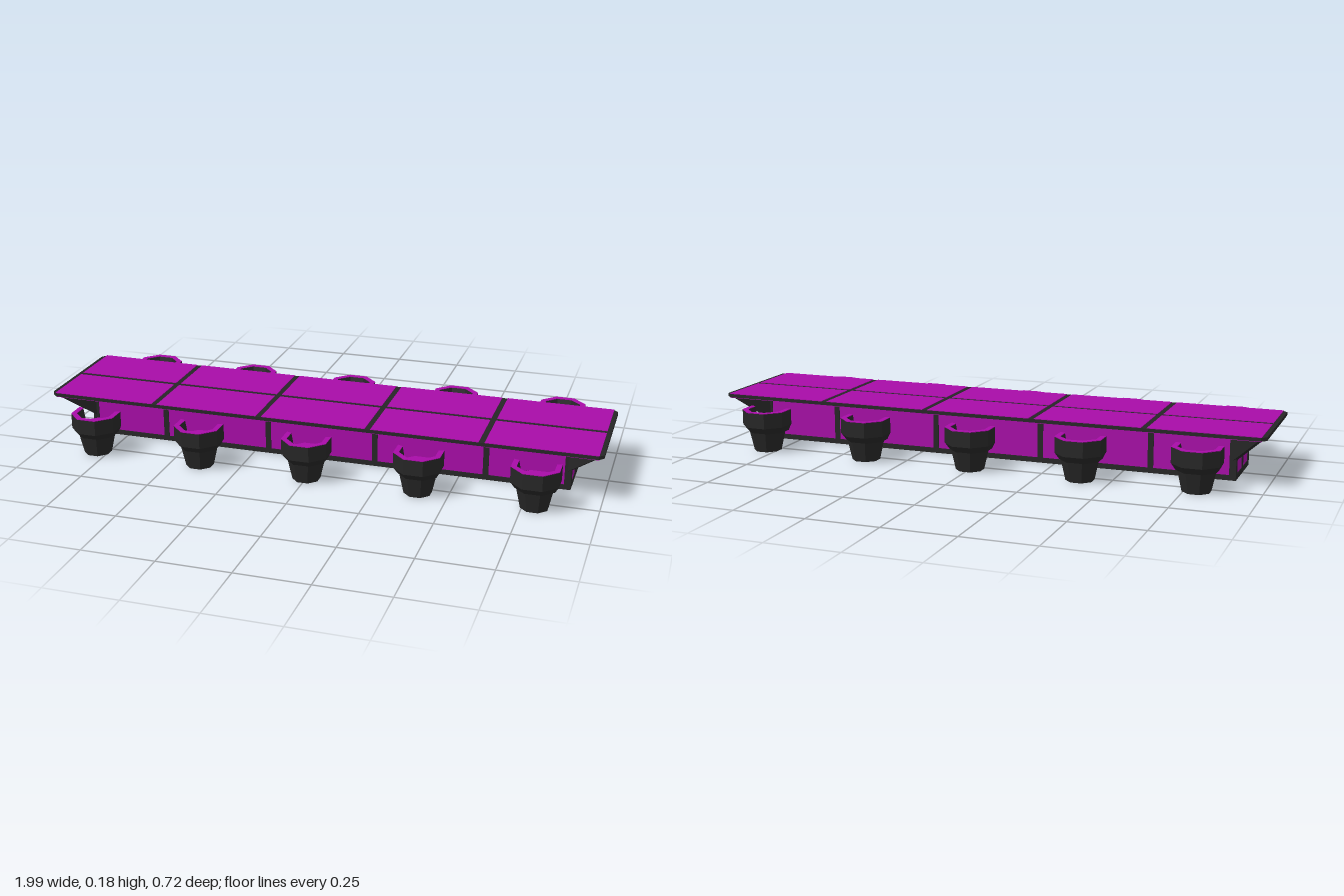
import * as THREE from 'three';

const dark = new THREE.MeshStandardMaterial({ color: 0x262626, flatShading: true });
const purple = new THREE.MeshStandardMaterial({ color: 0xa80ca8, flatShading: true });

function add(parent, name, geometry, material, x = 0, y = 0, z = 0) {
  const mesh = new THREE.Mesh(geometry, material);
  mesh.name = name;
  mesh.position.set(x, y, z);
  parent.add(mesh);
  return mesh;
}

// Box given by its lower and upper limits on each axis
function block(parent, name, material, x0, x1, y0, y1, z0, z1) {
  return add(parent, name, new THREE.BoxGeometry(x1 - x0, y1 - y0, z1 - z0), material,
    (x0 + x1) / 2, (y0 + y1) / 2, (z0 + z1) / 2);
}

// Octagonal tapered drum with flat sides on the axes; radii are centre-to-side
function octagon(bottom, top, height) {
  const k = 1 / Math.cos(Math.PI / 8);
  return new THREE.CylinderGeometry(top * k, bottom * k, height, 8).rotateY(Math.PI / 8)
    .translate(0, height / 2, 0);
}

// Band around five sides of an octagon, swept from a closed [radius, y] profile
function backBand(profile) {
  const n = profile.length, pos = [], idx = [];
  for (let i = 0; i < 6; i++) {
    const a = -Math.PI * 5 / 8 + i * Math.PI / 4;
    for (const [r, y] of profile) {
      const R = r / Math.cos(Math.PI / 8);
      pos.push(R * Math.sin(a), y, R * Math.cos(a));
    }
  }
  for (let i = 0; i < 5; i++) {
    for (let j = 0; j < n; j++) {
      const a = i * n + j, b = i * n + (j + 1) % n;
      idx.push(a, a + n, b, b, a + n, b + n);
    }
  }
  const e = 5 * n;
  idx.push(0, 1, 2, 0, 2, 3, e, e + 2, e + 1, e, e + 3, e + 2);
  const g = new THREE.BufferGeometry();
  g.setAttribute('position', new THREE.Float32BufferAttribute(pos, 3));
  g.setIndex(idx);
  const flat = g.toNonIndexed();
  flat.computeVertexNormals();
  return flat;
}

function createChair() {
  const chair = new THREE.Group();
  add(chair, 'chairBase', octagon(0.045, 0.06, 0.072), dark);
  // The seat overhangs the base towards the table
  const seat = octagon(0.067, 0.08, 0.025);
  const p = seat.attributes.position;
  for (let i = 0; i < p.count; i++) if (p.getY(i) < 0.01) p.setZ(i, p.getZ(i) - 0.008);
  add(chair, 'seat', seat, dark, 0, 0.07, 0);
  add(chair, 'seatCushion', octagon(0.076, 0.076, 0.002), purple, 0, 0.095, 0);
  add(chair, 'backrest', backBand([[0.08, 0.094], [0.08, 0.148], [0.062, 0.148], [0.05, 0.094]]), dark);
  add(chair, 'backrestRim', backBand([[0.08, 0.148], [0.08, 0.15], [0.062, 0.15], [0.062, 0.148]]), purple);
  return chair;
}

export function createModel() {
  const model = new THREE.Group();
  model.name = 'conferenceTable';
  const table = new THREE.Group();
  table.name = 'table';
  model.add(table);

  const X = 0.885, Z = 0.115, T = 0.014; // body half length, half width, wall thickness
  const pitch = 0.395, gap = 0.01;
  const cuts = [-1.5, -0.5, 0.5, 1.5].map(v => v * pitch);

  // Tabletop slab with chamfered corners
  const outline = new THREE.Shape([
    [0.98, 0.216], [-0.98, 0.216], [-0.997, 0.2], [-0.997, -0.2],
    [-0.98, -0.216], [0.98, -0.216], [0.997, -0.2], [0.997, 0.2],
  ].map(([x, y]) => new THREE.Vector2(x, y)));
  add(table, 'tabletop',
    new THREE.ExtrudeGeometry(outline, { depth: 0.012, bevelEnabled: false }).rotateX(-Math.PI / 2),
    dark, 0, 0.166, 0);

  // Coloured plates above and below the slab
  const edges = [-0.982 - gap, ...cuts, 0.982 + gap];
  for (let i = 0; i < 5; i++) {
    for (const s of [-1, 1]) {
      for (const [name, y] of [['topPanel', 0.178], ['undersidePanel', 0.164]]) {
        block(table, name, purple, edges[i] + gap, edges[i + 1] - gap, y, y + 0.002,
          s > 0 ? gap : -0.215, s > 0 ? 0.215 : -gap);
      }
    }
  }

  // Open-bottomed body: rails, posts and inset panels
  for (const s of [-1, 1]) {
    const zc = s * (Z - T / 2), xc = s * (X - T / 2);
    block(table, 'sideRail', dark, -X, X, 0, 0.018, zc - T / 2, zc + T / 2);
    block(table, 'sidePanel', purple, -X + T, X - T, 0.018, 0.166, zc - T / 2 + 0.002, zc + T / 2 - 0.002);
    for (const x of cuts) {
      block(table, 'sidePost', dark, x - gap, x + gap, 0.018, 0.166, zc - T / 2, zc + T / 2);
    }
    block(table, 'endRail', dark, xc - T / 2, xc + T / 2, 0, 0.02, -Z + T, Z - T);
    block(table, 'endPanel', purple, xc - T / 2 + 0.002, xc + T / 2 - 0.002, 0.02, 0.166, -Z + T, Z - T);
    block(table, 'endPost', dark, xc - T / 2, xc + T / 2, 0.02, 0.166, -0.011, 0.011);
  }

  // Corner posts and triangular brackets running out to the tabletop corners
  const run = Math.hypot(0.1, 0.095);
  const finShape = new THREE.Shape([
    new THREE.Vector2(-0.015, 0.055), new THREE.Vector2(0, 0.07),
    new THREE.Vector2(run, 0.168), new THREE.Vector2(-0.015, 0.168),
  ]);
  for (const sx of [-1, 1]) {
    for (const sz of [-1, 1]) {
      const px = sx * (X - 0.0115), pz = sz * (Z - 0.0115);
      block(table, 'cornerPost', dark, px - 0.0115, px + 0.0115, 0, 0.166, pz - 0.0115, pz + 0.0115);
      const fin = add(table, 'cornerBracket',
        new THREE.ExtrudeGeometry(finShape, { depth: 0.018, bevelEnabled: false }).translate(0, 0, -0.009),
        dark, sx * (X - 0.005), 0, sz * (Z - 0.005));
      fin.rotation.y = Math.atan2(-sz * 0.095, sx * 0.1);
    }
  }

  // Five chairs along each long side, facing the table
  for (let i = -2; i <= 2; i++) {
    for (const s of [-1, 1]) {
      const chair = createChair();
      chair.name = s > 0 ? 'frontChair' : 'backChair';
      chair.position.set(i * pitch, 0, s * 0.281);
      if (s < 0) chair.rotation.y = Math.PI;
      model.add(chair);
    }
  }
  return model;
}
